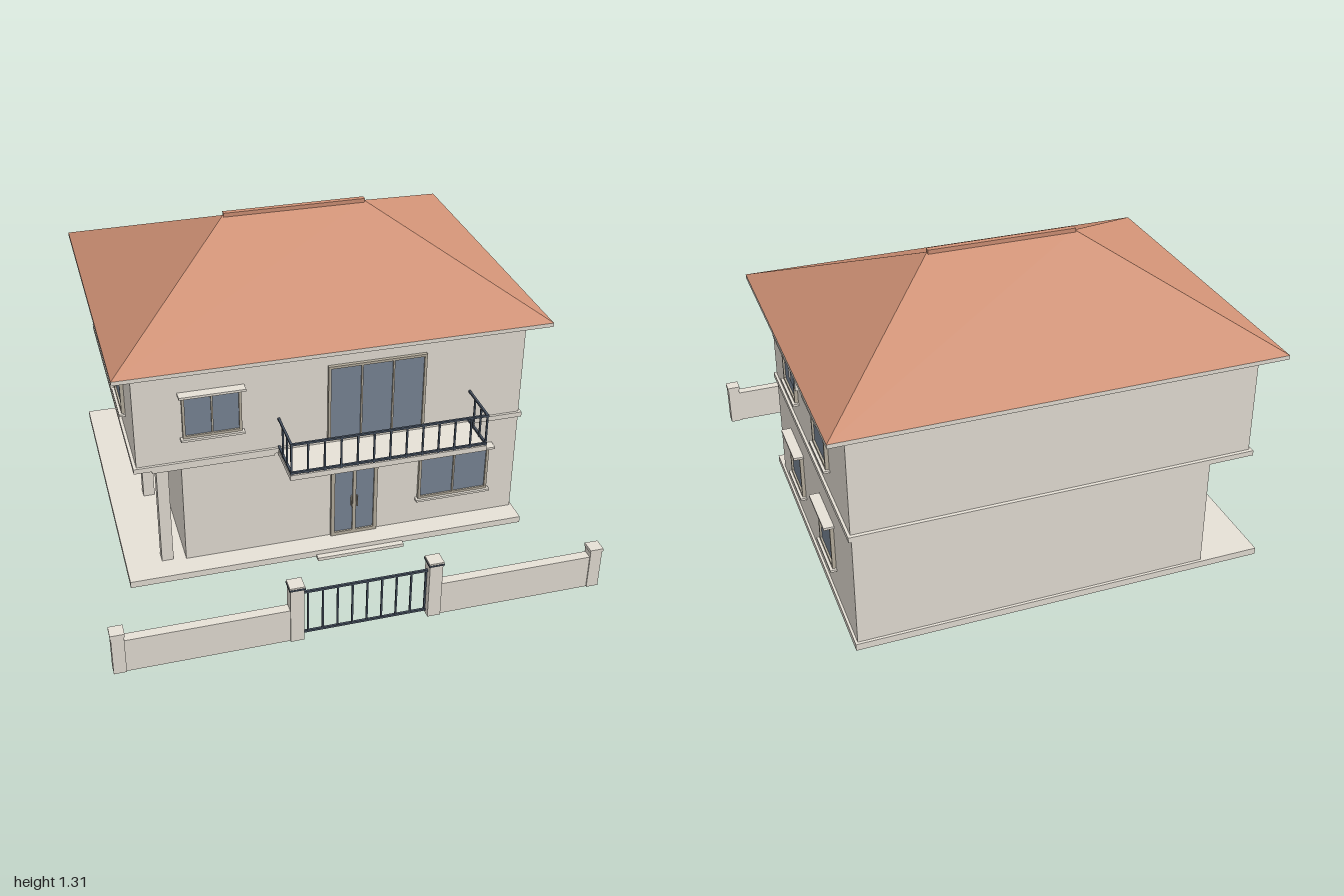
import * as THREE from 'three';

const mat = (name, color) => Object.assign(new THREE.MeshStandardMaterial({ color }), { name });

export function createModel() {
  const wall = mat('plaster', 0xe8e2d8);
  const tile = mat('roofTile', 0xd19276);
  const glass = mat('glass', 0x7a8797);
  const frameMat = mat('windowFrame', 0xb8b0a0);
  const iron = mat('darkIron', 0x465160);

  const house = new THREE.Group();
  house.name = 'house';

  // Box given by its extents on each axis
  function box(name, material, x0, x1, y0, y1, z0, z1, parent = house) {
    const m = new THREE.Mesh(new THREE.BoxGeometry(x1 - x0, y1 - y0, z1 - z0), material);
    m.position.set((x0 + x1) / 2, (y0 + y1) / 2, (z0 + z1) / 2);
    m.name = name;
    parent.add(m);
    return m;
  }
  function group(name, parent = house) {
    const g = new THREE.Group();
    g.name = name;
    parent.add(g);
    return g;
  }

  // Storeys, plinth and floor band
  const wallFront = 0.375, wallRight = 0.845;
  box('plinth', wall, -0.86, 0.855, 0.006, 0.035, -0.9, 0.47);
  box('doorStep', wall, -0.07, 0.31, 0, 0.015, 0.42, 0.495);
  box('lowerWalls', wall, -0.61, wallRight, 0.035, 0.503, -0.888, wallFront);
  box('upperWalls', wall, -0.79, wallRight, 0.525, 0.963, -0.873, wallFront);
  box('floorBand', wall, -0.803, 0.856, 0.503, 0.525, -0.888, 0.386);
  box('porchBeam', wall, -0.73, -0.225, 0.493, 0.503, 0.3, 0.386);
  for (const z of [-0.14, 0.34]) box('porchColumn', wall, -0.711, -0.662, 0.035, 0.503, z - 0.025, z + 0.025);

  // Hipped roof: eave slab, four slopes, ridge cap
  box('eaves', wall, -0.87, 0.925, 0.963, 0.98, -0.955, 0.458);
  const A = [-0.87, 0.98, 0.458], B = [0.925, 0.98, 0.458], C = [0.925, 0.98, -0.955], D = [-0.87, 0.98, -0.955];
  const L = [-0.28, 1.295, -0.248], R = [0.335, 1.295, -0.248];
  const roofGeo = new THREE.BufferGeometry();
  const faces = [A, B, R, A, R, L, B, C, R, C, D, L, C, L, R, D, A, L];
  roofGeo.setAttribute('position', new THREE.Float32BufferAttribute(faces.flat(), 3));
  roofGeo.computeVertexNormals();
  const roof = new THREE.Mesh(roofGeo, tile);
  roof.name = 'roof';
  house.add(roof);
  box('ridgeCap', tile, -0.28, 0.335, 1.285, 1.307, -0.26, -0.236);

  // Framed opening facing +z, centred at its origin, with equal panes
  function opening(name, w, h, panes, { hood = true, bar = 0.011, mullion = 0.007 } = {}) {
    const g = group(name);
    const shape = new THREE.Shape();
    shape.moveTo(-w / 2, -h / 2).lineTo(w / 2, -h / 2).lineTo(w / 2, h / 2).lineTo(-w / 2, h / 2).closePath();
    const pw = (w - 2 * bar - mullion * (panes - 1)) / panes;
    for (let i = 0; i < panes; i++) {
      const x = -w / 2 + bar + i * (pw + mullion), y = h / 2 - bar;
      const hole = new THREE.Path();
      hole.moveTo(x, -y).lineTo(x, y).lineTo(x + pw, y).lineTo(x + pw, -y).closePath();
      shape.holes.push(hole);
    }
    const frame = new THREE.Mesh(new THREE.ExtrudeGeometry(shape, { depth: 0.015, bevelEnabled: false }), frameMat);
    frame.name = 'frame';
    g.add(frame);
    box('glass', glass, -w / 2 + 0.004, w / 2 - 0.004, -h / 2 + 0.004, h / 2 - 0.004, 0, 0.007, g);
    if (hood) {
      box('hood', wall, -w / 2 - 0.014, w / 2 + 0.014, h / 2, h / 2 + 0.01, 0, 0.042, g);
      box('sill', wall, -w / 2 - 0.01, w / 2 + 0.01, -h / 2 - 0.01, -h / 2, 0, 0.026, g);
    }
    return g;
  }

  // Front windows and doors
  opening('upperFrontWindow', 0.24, 0.196, 2).position.set(-0.478, 0.736, wallFront);
  opening('lowerFrontWindow', 0.315, 0.218, 2).position.set(0.562, 0.269, wallFront);
  opening('balconyDoor', 0.416, 0.35, 3, { hood: false }).position.set(0.207, 0.7, wallFront);
  const door = opening('frontDoor', 0.204, 0.345, 2, { hood: false, bar: 0.016, mullion: 0.014 });
  door.position.set(0.118, 0.21, wallFront);
  for (const s of [-1, 1]) box('doorHandle', frameMat, s * 0.012 - 0.002, s * 0.012 + 0.002, -0.03, 0.02, 0.007, 0.022, door);

  // Side windows: two storeys on the right flank, upper storey only above the porch
  for (const y of [0.268, 0.733]) for (const z of [0.023, -0.488]) {
    const w = opening('sideWindow', 0.21, 0.2, 1);
    w.position.set(wallRight, y, z);
    w.rotation.y = Math.PI / 2;
    if (y > 0.5) {
      const m = opening('porchSideWindow', 0.21, 0.2, 1);
      m.position.set(-0.79, y, z);
      m.rotation.y = -Math.PI / 2;
    }
  }

  // Air conditioner on the side wall
  const ac = group('airConditioner');
  box('casing', wall, 0.85, 0.892, 0.812, 0.888, -0.29, -0.174, ac);
  box('grille', glass, 0.891, 0.895, 0.822, 0.876, -0.281, -0.226, ac);
  for (const z of [-0.27, -0.195]) box('bracket', wall, wallRight, 0.89, 0.804, 0.812, z - 0.004, z + 0.004, ac);

  // Balcony slab with railing on three sides
  const balcony = group('balcony');
  box('slab', wall, -0.21, 0.62, 0.493, 0.517, wallFront, 0.578, balcony);
  const t = 0.0035, r = 0.0045;
  for (const y of [0.527, 0.66]) {
    box('frontRail', iron, -0.21, 0.62, y - r, y + r, 0.569, 0.578, balcony);
    for (const x of [-0.205, 0.615]) box('sideRail', iron, x - r, x + r, y - r, y + r, wallFront, 0.57, balcony);
  }
  for (let i = 0; i <= 12; i++) {
    const x = -0.205 + i * 0.82 / 12;
    box('baluster', iron, x - t, x + t, 0.517, 0.66, 0.573 - t, 0.573 + t, balcony);
  }
  for (const x of [-0.205, 0.615]) for (const z of [0.44, 0.507]) {
    box('sideBaluster', iron, x - t, x + t, 0.517, 0.66, z - t, z + t, balcony);
  }

  // Garden wall with posts, mirrored about the gate
  const fence = group('gardenWall');
  const zc = 0.92;
  function cappedPost(x, half, h) {
    box('post', wall, x - half, x + half, 0, h - 0.014, zc - half, zc + half, fence);
    const c = half + 0.003;
    box('postCap', wall, x - c, x + c, h - 0.014, h, zc - c, zc + c, fence);
  }
  for (const s of [-1, 1]) {
    const x = s * 0.281;
    cappedPost(s * 0.972, 0.025, 0.188);
    cappedPost(x, 0.027, 0.264);
    box('capTrim', iron, x - 0.032, x + 0.032, 0.25, 0.257, zc - 0.032, zc + 0.032, fence);
    box('wallPanel', wall, Math.min(s * 0.96, s * 0.29), Math.max(s * 0.96, s * 0.29), 0, 0.15, zc - 0.02, zc + 0.02, fence);
  }

  // Barred gate
  const gate = group('gate');
  for (const y of [0.018, 0.214]) box('gateRail', iron, -0.255, 0.255, y - r, y + r, zc - r, zc + r, gate);
  for (let i = 0; i < 9; i++) {
    const x = -0.232 + i * 0.06;
    box('gateBar', iron, x - t, x + t, 0.018, 0.214, zc - t, zc + t, gate);
  }

  return house;
}
